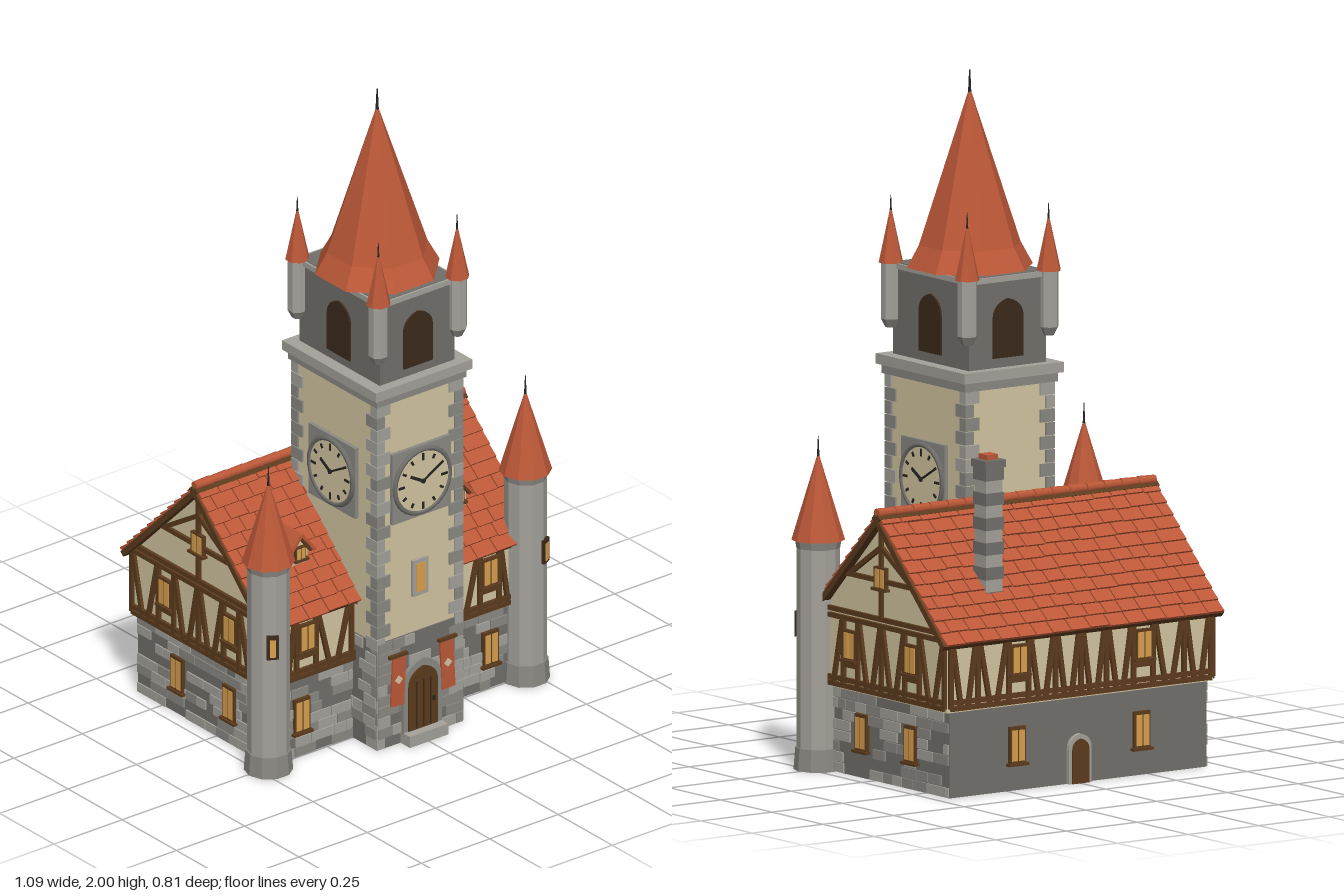
import * as THREE from 'three';
import { mergeGeometries } from 'three/addons/utils/BufferGeometryUtils.js';

const paint = (name, color) => Object.assign(new THREE.MeshStandardMaterial({ color }), { name });
const M = {
  roof: paint('roof tile red', 0xbc5838), cream: paint('cream plaster', 0xd2c5a0),
  light: paint('light stone', 0xa3a199), mid: paint('middle stone', 0x8a8882),
  dark: paint('dark stone', 0x716f6b), timber: paint('timber brown', 0x5c3b1d),
  wood: paint('dark wood', 0x3c2a1b), amber: paint('amber glass', 0xd8a04e),
  iron: paint('iron', 0x262422),
};
const RIDGE_Z = -0.06, TOWER_Z = 0.165;

let seed = 7;
const rand = () => (seed = (seed * 16807) % 2147483647) / 2147483647;

function add(parent, name, geo, mat, x = 0, y = 0, z = 0) {
  const m = new THREE.Mesh(geo, mat);
  m.name = name;
  m.position.set(x, y, z);
  parent.add(m);
  return m;
}
const box = (p, name, mat, w, h, d, x, y, z) => add(p, name, new THREE.BoxGeometry(w, h, d), mat, x, y, z);
const boxGeo = (w, h, d, x, y, z, rx = 0, rz = 0) =>
  new THREE.BoxGeometry(w, h, d).rotateX(rx).rotateZ(rz).translate(x, y, z);

// faceted cylinder or cone standing on y
function facets(p, name, mat, rTop, rBottom, y0, y1, x, z, sides = 10) {
  const g = new THREE.CylinderGeometry(rTop, rBottom, y1 - y0, sides, 1, false, Math.PI / sides).toNonIndexed();
  g.computeVertexNormals();
  return add(p, name, g, mat, x, (y0 + y1) / 2, z);
}

// wall frame: local x along the wall, local z outward
function face(parent, name, x, z, ry) {
  const g = new THREE.Group();
  g.name = name;
  g.position.set(x, 0, z);
  g.rotation.y = ry;
  parent.add(g);
  return g;
}

function beams(p, name, lines, t = 0.014) {
  add(p, name, mergeGeometries(lines.map(([x1, y1, x2, y2]) =>
    boxGeo(Math.hypot(x2 - x1, y2 - y1), t, 0.016, (x1 + x2) / 2, (y1 + y2) / 2, 0.002, 0, Math.atan2(y2 - y1, x2 - x1)))), M.timber);
}

function windowAt(p, x, y, w, h) {
  box(p, 'windowFrame', M.timber, w, h, 0.018, x, y, 0.003);
  for (const s of [-1, 1]) box(p, 'windowPane', M.amber, w * 0.36, h * 0.82, 0.004, x + s * w * 0.22, y, 0.012);
  box(p, 'windowSill', M.timber, w + 0.014, 0.008, 0.026, x, y - h / 2, 0.006);
}

function archGeo(w, h, d) {
  const r = w / 2, s = new THREE.Shape();
  s.moveTo(-r, 0).lineTo(r, 0).lineTo(r, h - r * 1.1);
  s.quadraticCurveTo(r, h - r * 0.25, 0, h).quadraticCurveTo(-r, h - r * 0.25, -r, h - r * 1.1);
  return new THREE.ExtrudeGeometry(s, { depth: d, bevelEnabled: false, curveSegments: 6 });
}

// irregular courses of thin stone plates
function masonry(p, x0, x1, y0, y1, rows) {
  const sets = { light: [], mid: [] }, h = (y1 - y0) / rows;
  for (let r = 0; r < rows; r++) {
    for (let x = x0; x < x1 - 0.005;) {
      const w = Math.min(0.035 + rand() * 0.06, x1 - x), k = rand();
      if (k < 0.68) sets[k < 0.36 ? 'light' : 'mid'].push(boxGeo(w - 0.003, h - 0.003, 0.008, x + w / 2, y0 + h * (r + 0.5), 0.001));
      x += w;
    }
  }
  for (const k in sets) if (sets[k].length) add(p, k + 'Stones', mergeGeometries(sets[k]), M[k]);
}

// timber storey: narrow bays hold windows, wide bays get slanted braces
function timberStorey(p, posts) {
  const lo = 0.262, hi = 0.46, a = posts[0], b = posts[posts.length - 1];
  const lines = [[a, lo, b, lo], [a, hi, b, hi], [a, lo + 0.018, b, lo + 0.018]];
  posts.forEach((x, i) => {
    lines.push([x, lo, x, hi]);
    const n = posts[i + 1];
    if (n === undefined) return;
    const m = (x + n) / 2;
    if (n - x < 0.08) {
      windowAt(p, m, 0.383, 0.058, 0.09);
      lines.push([x, 0.325, n, 0.325]);
    } else lines.push([x + 0.005, hi, m - 0.012, lo], [n - 0.005, hi, m + 0.012, lo]);
  });
  beams(p, 'timberFrame', lines);
}

function clock(p, y) {
  box(p, 'clockPanel', M.mid, 0.215, 0.225, 0.012, 0, y, 0.006);
  add(p, 'clockRim', new THREE.TorusGeometry(0.1, 0.008, 6, 32), M.dark, 0, y, 0.014);
  add(p, 'clockFace', new THREE.CylinderGeometry(0.098, 0.098, 0.006, 32).rotateX(Math.PI / 2), M.cream, 0, y, 0.014);
  const marks = [];
  for (let i = 0; i < 12; i++) {
    const a = i * Math.PI / 6;
    marks.push(boxGeo(0.007, i % 3 ? 0.014 : 0.022, 0.003, -Math.sin(a) * 0.078, Math.cos(a) * 0.078, 0, 0, a));
  }
  for (const [a, l, t] of [[1.05, 0.052, 0.009], [-1.05, 0.075, 0.006]])
    marks.push(boxGeo(t, l, 0.003, -Math.sin(a) * l / 2, Math.cos(a) * l / 2, 0, 0, a));
  add(p, 'clockMarksAndHands', mergeGeometries(marks), M.iron, 0, y, 0.0185);
  add(p, 'clockHub', new THREE.CylinderGeometry(0.007, 0.007, 0.006, 10).rotateX(Math.PI / 2), M.iron, 0, y, 0.019);
}

function buildHall(root) {
  const hall = face(root, 'hall', 0, RIDGE_Z, 0);
  box(hall, 'groundFloor', M.dark, 0.91, 0.255, 0.61, 0, 0.1275, 0);
  const s = new THREE.Shape();
  [[-0.315, 0.25], [0.315, 0.25], [0.315, 0.465], [0, 0.775], [-0.315, 0.465]].forEach(([x, y], i) => i ? s.lineTo(x, y) : s.moveTo(x, y));
  add(hall, 'upperFloor', new THREE.ExtrudeGeometry(s, { depth: 0.94, bevelEnabled: false }).translate(0, 0, -0.47).rotateY(Math.PI / 2), M.cream);
  // front and back walls
  for (const side of [1, -1]) {
    const ry = side > 0 ? 0 : Math.PI;
    const low = face(hall, 'groundWall', 0, side * 0.305, ry), up = face(hall, 'upperWall', 0, side * 0.315, ry);
    const wx = side > 0 ? 0.345 : 0.22;
    for (const x of [-wx, wx]) windowAt(low, x, 0.132, 0.056, 0.11);
    if (side > 0) {
      masonry(low, -0.455, 0.455, 0, 0.25, 8);
      timberStorey(up, [-0.46, -0.37, -0.3, -0.17, 0.17, 0.3, 0.37, 0.46]);
    } else {
      add(low, 'backDoorSurround', archGeo(0.08, 0.145, 0.012), M.light);
      add(low, 'backDoor', archGeo(0.058, 0.13, 0.016), M.timber);
      timberStorey(up, [-0.46, -0.365, -0.255, -0.185, -0.09, 0, 0.09, 0.185, 0.255, 0.365, 0.46]);
    }
    // gable ends
    const glow = face(hall, 'gableGroundWall', side * 0.455, 0, side * Math.PI / 2);
    masonry(glow, -0.305, 0.305, 0, 0.25, 8);
    for (const x of [-0.115, 0.125]) windowAt(glow, x, 0.132, 0.056, 0.11);
    const gup = face(hall, 'gableUpperWall', side * 0.47, 0, side * Math.PI / 2);
    timberStorey(gup, [-0.308, -0.185, -0.115, 0, 0.115, 0.185, 0.308]);
    windowAt(gup, 0, 0.6, 0.056, 0.065);
    beams(gup, 'gableFrame', [[-0.31, 0.48, 0.31, 0.48], [0, 0.48, 0, 0.77], [-0.17, 0.592, 0.17, 0.592],
      [-0.16, 0.59, 0, 0.69], [0.16, 0.59, 0, 0.69], [-0.31, 0.462, 0, 0.768], [0.31, 0.462, 0, 0.768]]);
  }
}

function buildRoof(root) {
  const roof = face(root, 'hallRoof', 0, RIDGE_Z, 0);
  const slope = Math.atan2(0.34, 0.345), len = 0.482, rows = 11, h = len / rows;
  for (const side of [0, 1]) {
    const g = new THREE.Group();
    g.name = side ? 'backSlope' : 'frontSlope';
    g.rotation.set(slope, 0, 0);
    g.position.y = 0.795;
    face(roof, 'roofSide', 0, 0, side * Math.PI).add(g);
    box(g, 'roofBoards', M.timber, 0.99, 0.018, len, 0, -0.02, len / 2);
    const tiles = [];
    for (let r = 0; r < rows; r++) {
      for (let x = -0.492; x < 0.487;) {
        let w = x === -0.492 && r % 2 ? 0.035 : 0.055 + rand() * 0.025;
        if (x + w > 0.46) w = 0.492 - x;
        tiles.push(boxGeo(w - 0.004, 0.008, h + 0.002, x + w / 2, -0.006, h * (r + 0.5) + rand() * 0.004, -0.13));
        x += w;
      }
    }
    add(g, 'roofTiles', mergeGeometries(tiles), M.roof);
  }
  const caps = [];
  for (let i = 0; i < 16; i++)
    caps.push(new THREE.CylinderGeometry(0.013, 0.015, 0.06, 8).rotateZ(Math.PI / 2).translate(-0.461 + i * 0.0615, 0.79, 0));
  add(roof, 'ridgeTiles', mergeGeometries(caps), M.roof);

  // dormers
  for (const s of [-1, 1]) {
    const d = face(root, 'dormer', s * 0.29, 0, 0), sh = new THREE.Shape();
    sh.moveTo(-0.033, 0.55).lineTo(0.033, 0.55).lineTo(0.033, 0.61).lineTo(0, 0.652).lineTo(-0.033, 0.61);
    add(d, 'dormerBody', new THREE.ExtrudeGeometry(sh, { depth: 0.1, bevelEnabled: false }), M.cream, 0, 0, 0.068);
    const f = face(d, 'dormerFront', 0, 0.168, 0);
    windowAt(f, 0, 0.604, 0.036, 0.04);
    beams(f, 'dormerTrim', [[-0.042, 0.602, 0, 0.654], [0.042, 0.602, 0, 0.654]], 0.01);
    for (const k of [-1, 1])
      add(d, 'dormerRoof', boxGeo(0.078, 0.01, 0.125, k * 0.025, 0.634, 0.122, 0, -k * 0.88), M.roof);
  }
  // chimney of alternating courses
  const c = face(root, 'chimney', 0.238, -0.256, 0);
  for (let i = 0; i < 11; i++) {
    const w = i % 2 ? 0.058 : 0.064;
    box(c, 'chimneyCourse', i % 2 ? M.light : M.dark, w, 0.036, w, 0, 0.55 + i * 0.036, 0);
  }
  box(c, 'chimneyCap', M.dark, 0.072, 0.022, 0.072, 0, 0.94, 0);
  box(c, 'chimneyPot', M.roof, 0.04, 0.02, 0.04, 0, 0.956, 0);
}

function buildClockTower(root) {
  const t = face(root, 'clockTower', 0, TOWER_Z, 0);
  box(t, 'towerBase', M.dark, 0.312, 0.34, 0.392, 0, 0.17, 0);
  box(t, 'towerShaft', M.cream, 0.304, 0.79, 0.384, 0, 0.72, 0);
  // corner stones
  const q = [[], []];
  for (let i = 0; i < 28; i++) for (const sx of [-1, 1]) for (const sz of [-1, 1]) {
    const a = i % 2 ? 0.05 : 0.03, b = i % 2 ? 0.03 : 0.05;
    q[rand() < 0.5 ? 0 : 1].push(boxGeo(a, 0.037, b, sx * (0.158 - a / 2), 0.02 + i * 0.0395, sz * (0.198 - b / 2)));
  }
  q.forEach((g, i) => add(t, 'cornerStones', mergeGeometries(g), i ? M.mid : M.light));
  box(t, 'ledgeLower', M.mid, 0.328, 0.03, 0.41, 0, 1.12, 0);
  box(t, 'ledgeUpper', M.light, 0.352, 0.03, 0.434, 0, 1.147, 0);
  box(t, 'belfry', M.dark, 0.274, 0.27, 0.37, 0, 1.295, 0);
  box(t, 'belfryCornice', M.light, 0.288, 0.016, 0.385, 0, 1.42, 0);
  // four faces
  for (let i = 0; i < 4; i++) {
    const side = i % 2, ry = i * Math.PI / 2, sx = Math.sin(ry), sz = Math.cos(ry);
    add(face(t, 'belfryFace', sx * 0.137, sz * 0.185, ry), 'belfryOpening', archGeo(0.106, 0.172, 0.006), M.wood, 0, 1.19, 0);
    if (i === 2) continue;
    const w = side ? 0.196 : 0.156;
    masonry(face(t, 'baseWall', sx * 0.156, sz * 0.196, ry), -w, w, 0, 0.34, 10);
    clock(face(t, 'clock', sx * 0.154, sz * 0.194, ry), 0.825);
  }
  // entrance
  const f = face(t, 'entrance', 0, 0.198, 0);
  box(f, 'step', M.light, 0.14, 0.035, 0.05, 0, 0.0175, 0.017);
  add(f, 'doorSurround', archGeo(0.14, 0.225, 0.012), M.mid, 0, 0.03, 0);
  add(f, 'door', archGeo(0.106, 0.197, 0.016), M.timber, 0, 0.036, 0);
  for (const x of [-0.026, 0, 0.026]) box(f, 'doorSeam', M.wood, 0.004, 0.15, 0.003, x, 0.115, 0.017);
  box(f, 'doorHandle', M.iron, 0.008, 0.014, 0.006, 0.036, 0.12, 0.018);
  box(f, 'slitSurround', M.light, 0.056, 0.115, 0.012, 0, 0.513, -0.003);
  box(f, 'slitPane', M.amber, 0.034, 0.09, 0.005, 0, 0.513, 0.003);
  for (const s of [-1, 1]) {
    box(f, 'bannerPole', M.timber, 0.066, 0.009, 0.012, s * 0.09, 0.292, 0.012);
    box(f, 'banner', M.roof, 0.048, 0.155, 0.006, s * 0.09, 0.21, 0.012).rotation.z = s * 0.05;
    box(f, 'bannerPatch', M.cream, 0.02, 0.02, 0.004, s * 0.09, 0.215, 0.015).rotation.z = Math.PI / 4;
  }
  // spire with flared skirt
  facets(t, 'spireSkirt', M.roof, 0.15, 0.186, 1.43, 1.495, 0, 0, 8);
  facets(t, 'spire', M.roof, 0.002, 0.15, 1.495, 1.945, 0, 0, 8);
  facets(t, 'spireFinial', M.iron, 0.002, 0.006, 1.92, 2, 0, 0, 6);
  // corner turrets
  for (const sx of [-1, 1]) for (const sz of [-1, 1]) {
    const x = sx * 0.144, z = sz * 0.187;
    facets(t, 'turretCorbel', M.mid, 0.029, 0.016, 1.24, 1.265, x, z, 8);
    facets(t, 'turret', M.light, 0.029, 0.029, 1.265, 1.43, x, z, 8);
    facets(t, 'turretRoof', M.roof, 0.001, 0.036, 1.428, 1.59, x, z, 8);
    facets(t, 'turretFinial', M.iron, 0.001, 0.004, 1.57, 1.625, x, z, 6);
  }
}

function buildCornerTowers(root) {
  for (const s of [-1, 1]) {
    const g = face(root, 'cornerTower', s * 0.47, 0.256, 0);
    facets(g, 'cornerTowerFoot', M.mid, 0.066, 0.071, 0, 0.065, 0, 0);
    facets(g, 'cornerTowerShaft', M.light, 0.062, 0.062, 0.065, 0.655, 0, 0);
    facets(g, 'cornerTowerCollar', M.mid, 0.067, 0.063, 0.645, 0.67, 0, 0);
    facets(g, 'cornerTowerRoof', M.roof, 0.001, 0.077, 0.668, 0.92, 0, 0);
    facets(g, 'cornerTowerFinial', M.iron, 0.001, 0.005, 0.895, 0.97, 0, 0, 6);
    const w = face(g, 'slitWindow', s * 0.028, 0.054, s * 0.48);
    box(w, 'slitFrame', M.wood, 0.034, 0.075, 0.014, 0, 0.42, 0);
    box(w, 'slitGlass', M.amber, 0.018, 0.055, 0.004, 0, 0.418, 0.007);
  }
}

export function createModel() {
  const root = new THREE.Group();
  root.name = 'clockTowerHall';
  seed = 7;
  buildHall(root);
  buildRoof(root);
  buildClockTower(root);
  buildCornerTowers(root);
  return root;
}
